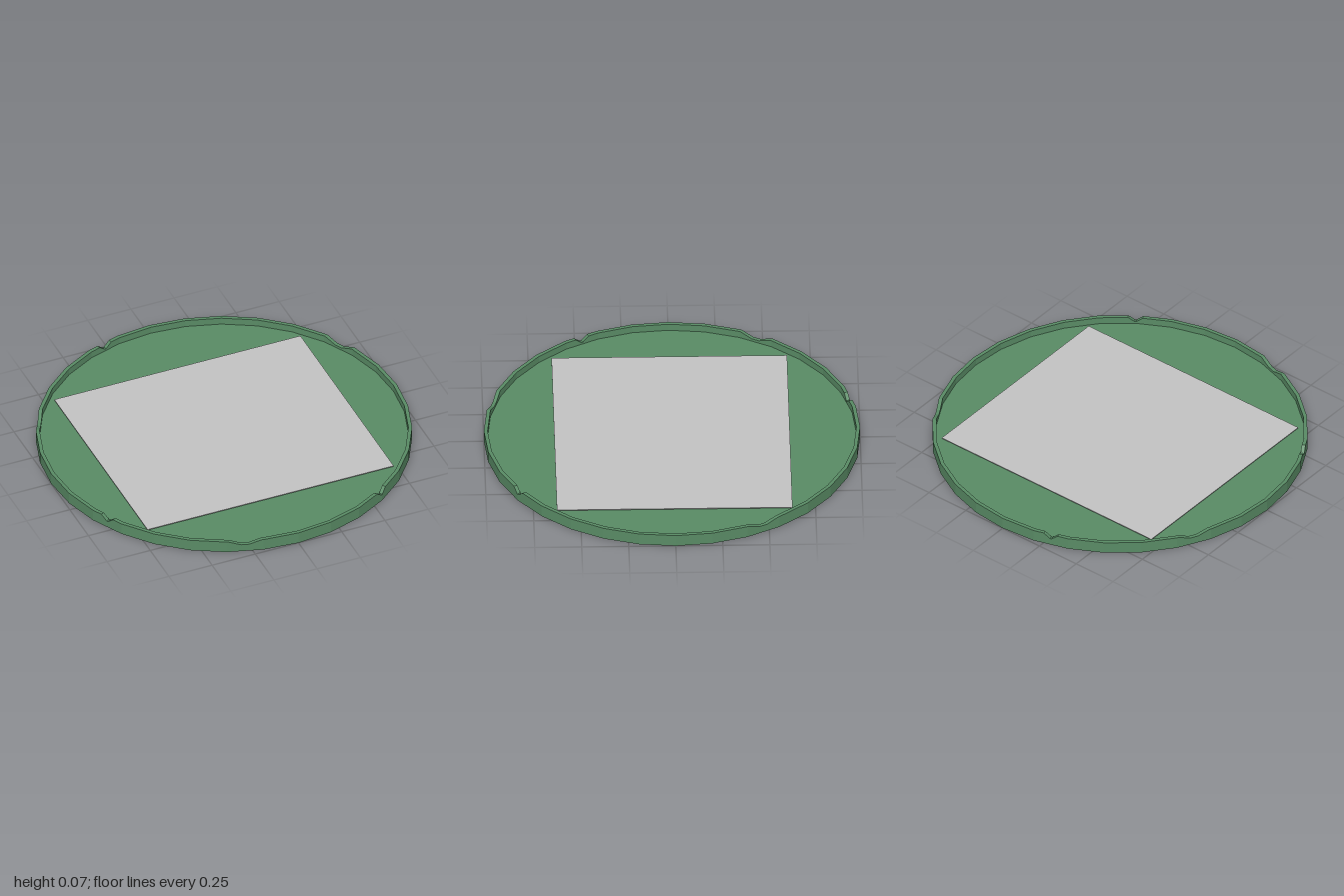
import * as THREE from 'three';

const SIDES = 32, STEP = (Math.PI * 2) / SIDES;
const RIM_TOP = 0.066, FLOOR = 0.027, INNER = 0.98;

// Chips in the rim: centre angle in facets (from +x towards +z), half width, flat half width, lowest height
const wide = (at) => ({ angle: at * STEP, half: 0.09, flat: 0.022, low: 0.042 });
const narrow = (at) => ({ angle: at * STEP, half: 0.04, flat: 0.004, low: 0.038 });
const chips = [narrow(5), wide(9.5), narrow(13.5), wide(18.5), narrow(22.5), wide(29.5)];

// Height of the rim at an angle, lowered inside a chip
function rimHeight(a) {
  let h = RIM_TOP;
  for (const c of chips) {
    const d = Math.abs(a - c.angle);
    if (d < c.half) {
      const t = THREE.MathUtils.clamp((d - c.flat) / (c.half - c.flat), 0, 1);
      h = Math.min(h, THREE.MathUtils.lerp(c.low, RIM_TOP, t));
    }
  }
  return h;
}

// Point on the many-sided outline, scaled by s
function outline(a, s, y) {
  const offset = (a % STEP) - STEP / 2;
  const r = (s * Math.cos(STEP / 2)) / Math.cos(offset);
  return [Math.cos(a) * r, y, Math.sin(a) * r];
}

// Shallow dish swept from one cross-section, with extra sections at the chips
function dishGeometry() {
  const angles = [];
  for (let i = 0; i < SIDES; i++) angles.push(i * STEP);
  for (const c of chips) {
    for (const d of [-c.half, -c.flat, c.flat, c.half]) angles.push(c.angle + d);
  }
  angles.sort((a, b) => a - b);

  const sections = angles.map((a) => {
    const h = rimHeight(a);
    return [[0, 0], [1, 0], [1, h], [INNER, h], [INNER, FLOOR], [0, FLOOR]]
      .map(([s, y]) => outline(a, s, y));
  });

  const pos = [];
  sections.forEach((p, i) => {
    const q = sections[(i + 1) % sections.length];
    for (let j = 0; j < p.length - 1; j++) {
      if (j < p.length - 2) pos.push(...p[j], ...p[j + 1], ...q[j + 1]);
      else pos.push(...p[j], ...p[j + 1], ...q[j]);
      if (j > 0 && j < p.length - 2) pos.push(...p[j], ...q[j + 1], ...q[j]);
    }
  });
  const g = new THREE.BufferGeometry();
  g.setAttribute('position', new THREE.Float32BufferAttribute(pos, 3));
  g.computeVertexNormals();
  return g;
}

export function createModel() {
  const green = new THREE.MeshStandardMaterial({ color: 0x598b65, flatShading: true });
  green.name = 'green';
  const grey = new THREE.MeshStandardMaterial({ color: 0xc3c3c3, flatShading: true });
  grey.name = 'lightGrey';

  const group = new THREE.Group();
  group.name = 'chippedDish';

  const dish = new THREE.Mesh(dishGeometry(), green);
  dish.name = 'dish';

  // Thin rectangular panel just above the dish floor
  const panel = new THREE.Mesh(new THREE.BoxGeometry(1.424, 0.004, 1.252), grey);
  panel.name = 'panel';
  panel.position.y = 0.04;

  group.add(dish, panel);
  return group;
}
